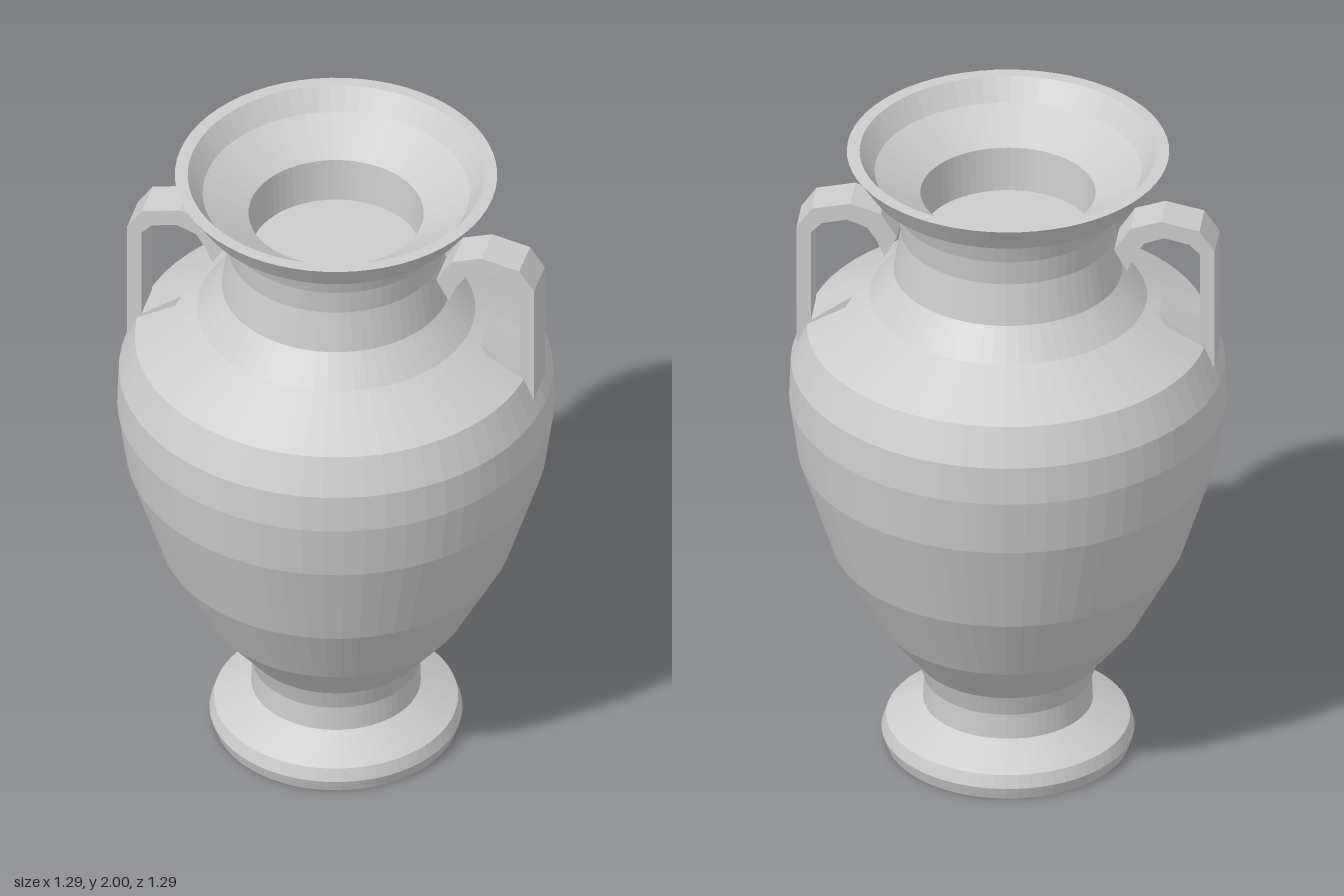
import * as THREE from 'three';

const clay = new THREE.MeshStandardMaterial({ color: 0xcccccc, flatShading: true });
clay.name = 'grey clay';

const vectors = (list) => list.map(([x, y]) => new THREE.Vector2(x, y));

// Spins a profile (radius, height), listed with the surface on its right, around y
function turned(name, profile) {
  const mesh = new THREE.Mesh(new THREE.LatheGeometry(vectors(profile), 64), clay);
  mesh.name = name;
  return mesh;
}

// Strap handle: side outline pushed through its width
function makeHandle(name) {
  const outline = [
    [0.62, 1.34], [0.62, 1.735], [0.575, 1.8], [0.46, 1.825], [0.37, 1.795],
    [0.322, 1.72], [0.36, 1.65], [0.38, 1.7], [0.41, 1.747], [0.47, 1.77],
    [0.545, 1.753], [0.577, 1.72], [0.577, 1.42], [0.455, 1.508], [0.49, 1.44],
  ];
  const width = 0.124;
  const geometry = new THREE.ExtrudeGeometry(new THREE.Shape(vectors(outline)), {
    depth: width, bevelEnabled: false,
  });
  geometry.translate(0, 0, -width / 2);
  const mesh = new THREE.Mesh(geometry, clay);
  mesh.name = name;
  return mesh;
}

export function createModel() {
  const vase = new THREE.Group();
  vase.name = 'vase';

  // Foot with its rounded edge and short stem
  vase.add(turned('foot', [
    [0, 0], [0.36, 0], [0.373, 0.04], [0.36, 0.08], [0.25, 0.14], [0.247, 0.22],
  ]));

  // Swelling body and sloping shoulder
  vase.add(turned('body', [
    [0.247, 0.22], [0.27, 0.29], [0.39, 0.44], [0.52, 0.68], [0.62, 0.99],
    [0.645, 1.17], [0.64, 1.29], [0.593, 1.405], [0.41, 1.51], [0.337, 1.6],
  ]));

  // Waisted neck
  vase.add(turned('neck', [[0.337, 1.6], [0.316, 1.73], [0.325, 1.81], [0.348, 1.88]]));

  // Flared lip, then the funnel down into the closed throat
  vase.add(turned('lip', [[0.348, 1.88], [0.415, 1.91], [0.475, 2], [0.437, 2]]));
  vase.add(turned('throat', [
    [0.437, 2], [0.393, 1.935], [0.258, 1.86], [0.25, 1.72], [0, 1.72],
  ]));

  // A handle on each side
  const left = makeHandle('leftHandle');
  const right = makeHandle('rightHandle');
  right.rotation.y = Math.PI;
  vase.add(left, right);

  return vase;
}
